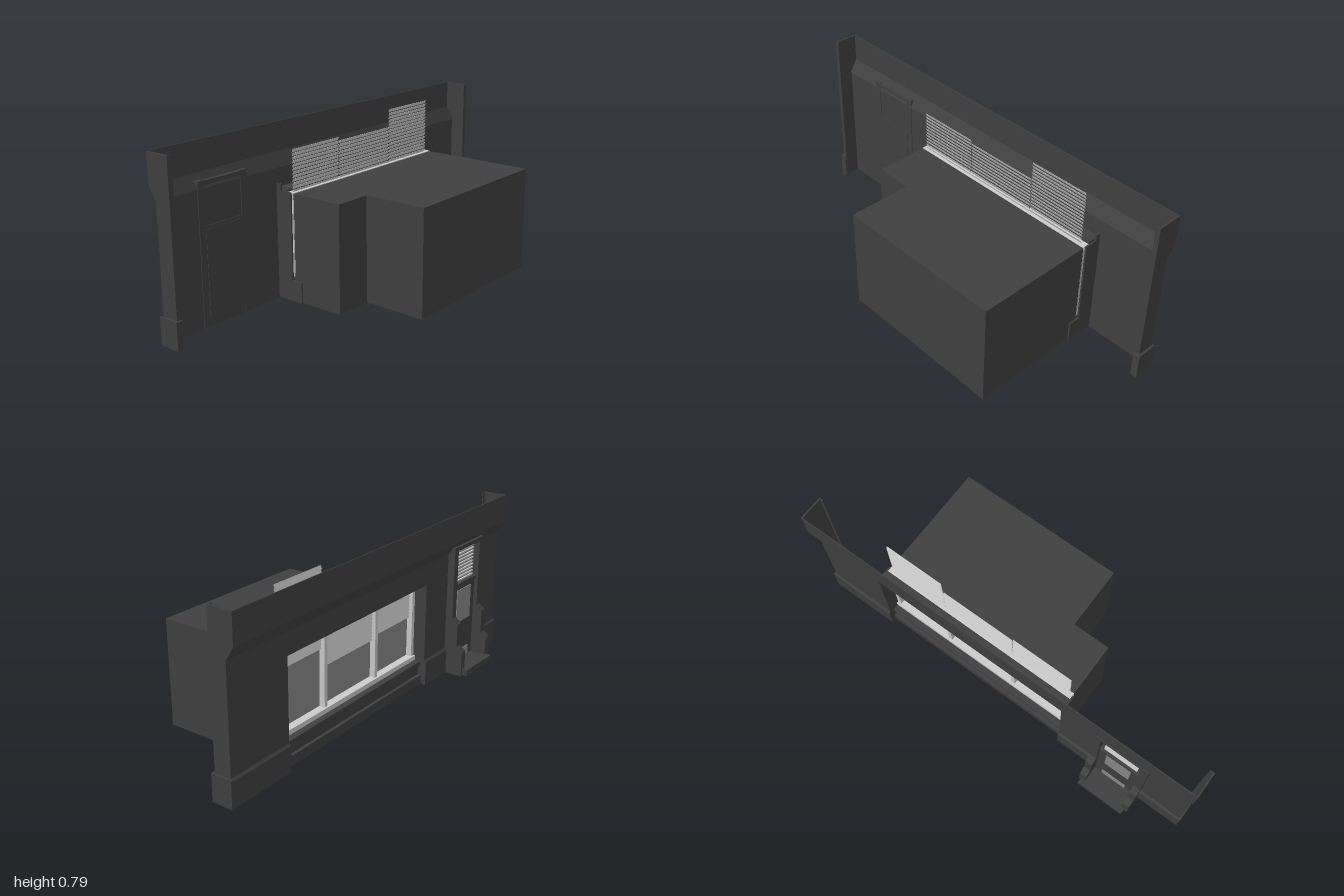
import * as THREE from 'three';

const dark = new THREE.MeshStandardMaterial({ color: 0x404040, side: THREE.DoubleSide, flatShading: true });
const grey = new THREE.MeshStandardMaterial({ color: 0xcccccc, side: THREE.DoubleSide, flatShading: true });
const glass = new THREE.MeshStandardMaterial({ color: 0x888888, side: THREE.DoubleSide });

export function createModel() {
  const root = new THREE.Group();

  const add = (name, geometry, material = dark, parent = root) => {
    const mesh = new THREE.Mesh(geometry, material);
    mesh.name = name;
    parent.add(mesh);
    return mesh;
  };
  // Box given by its limits on each axis
  const box = (name, x0, x1, y0, y1, z0, z1, material = dark, parent = root) => {
    const g = new THREE.BoxGeometry(x1 - x0, y1 - y0, z1 - z0);
    g.translate((x0 + x1) / 2, (y0 + y1) / 2, (z0 + z1) / 2);
    return add(name, g, material, parent);
  };
  const shapeOf = (pts) => new THREE.Shape(pts.map(([a, b]) => new THREE.Vector2(a, b)));
  // Side profile in x and y, swept along z
  const sweep = (name, pts, z0, z1) => {
    const g = new THREE.ExtrudeGeometry(shapeOf(pts), { depth: z1 - z0, bevelEnabled: false });
    g.translate(0, 0, z0);
    return add(name, g);
  };

  const W0 = -0.655, W1 = 0.335; // shop window opening along z
  const END = 0.985;

  // Street wall with an opening for the shop window
  const wall = new THREE.ShapeGeometry(shapeOf([
    [-END, 0], [W0, 0], [W0, 0.51], [W1, 0.51], [W1, 0], [END, 0], [END, 0.595], [-END, 0.595],
  ]));
  wall.rotateY(-Math.PI / 2).translate(-0.265, 0, 0);
  add('streetWall', wall);

  // Fascia board with its sloping underside
  sweep('fascia', [
    [-0.265, 0.595], [-0.303, 0.655], [-0.303, 0.788], [-0.299, 0.788], [-0.299, 0.657], [-0.261, 0.597],
  ], -END, END);

  // End returns, each with a small inward lip, and plinths wrapping the corners
  for (const s of [-1, 1]) {
    const span = (a, b) => (s > 0 ? [a, b] : [-b, -a]);
    sweep('endReturn', [
      [-0.265, 0], [-0.185, 0], [-0.185, 0.788], [-0.303, 0.788], [-0.303, 0.655], [-0.265, 0.595],
    ], ...span(0.983, 0.99));
    box('endLip', -0.19, -0.185, 0, 0.788, ...span(0.968, 0.988));
    box('endPlinth', -0.275, -0.178, 0.002, 0.125, ...span(0.99, 1));
    box('endPlinthLip', -0.184, -0.176, 0.002, 0.125, ...span(0.968, 1));
  }
  for (const [a, b] of [[-1, W0], [W1, 0.52], [0.785, 1]]) {
    sweep('wallPlinth', [
      [-0.265, 0.002], [-0.275, 0.002], [-0.275, 0.118], [-0.265, 0.127],
    ], a, b);
  }

  // Room behind the window, with one corner stepped back
  const room = new THREE.ExtrudeGeometry(shapeOf([
    [-0.172, -W1], [0.083, -W1], [0.083, -0.155], [0.383, -0.155], [0.383, -W0], [-0.172, -W0],
  ]), { depth: 0.49, bevelEnabled: false });
  room.rotateX(-Math.PI / 2).translate(0, 0.006, 0);
  add('room', room);

  // Window recess: soffit, side jambs and low wall under the glass
  box('recessSoffit', -0.265, -0.205, 0.497, 0.51, W0, W1);
  for (const [a, b] of [[W0 - 0.008, W0], [W1, W1 + 0.008]]) {
    box('recessJamb', -0.265, -0.183, 0.005, 0.5, a, b);
    box('recessJambTop', -0.265, -0.24, 0.5, 0.53, a, b);
    box('stallRiserEnd', -0.25, -0.13, 0.005, 0.1, a, b);
  }
  box('stallRiser', -0.235, -0.13, 0.005, 0.1, W0, W1);
  box('stallRiserPlinth', -0.25, -0.235, 0.005, 0.05, W0, W1);
  box('windowLedge', -0.245, -0.17, 0.1, 0.118, W0, W1);

  // Window frame, glass and mullions
  const win = new THREE.Group();
  win.name = 'shopWindow';
  root.add(win);
  box('windowGlass', -0.178, -0.174, 0.12, 0.495, W0, W1, glass, win);
  box('windowSill', -0.215, -0.172, 0.118, 0.14, W0, W1, grey, win);
  box('windowHead', -0.205, -0.172, 0.48, 0.499, W0, W1, grey, win);
  for (const z of [W0 + 0.01, -0.338, 0.027, W1 - 0.01]) {
    box('windowMullion', -0.205, -0.172, 0.12, 0.499, z - 0.01, z + 0.01, grey, win);
  }

  // Venetian blinds: tilted slats hung at three heights
  for (const [z0, z1, top] of [[-0.63, -0.342, 0.757], [-0.338, 0.02, 0.672], [0.026, 0.322, 0.688]]) {
    const blind = new THREE.Group();
    blind.name = 'blind';
    root.add(blind);
    for (let i = 0; i < 22; i++) {
      const slat = new THREE.BoxGeometry(0.0012, 0.0165, z1 - z0);
      slat.rotateZ(-0.45).translate(-0.186, top - 0.008 - i * 0.0162, (z0 + z1) / 2);
      add('blindSlat', slat, grey, blind);
    }
  }

  // Door surround: two stepped pilasters and a head
  for (const [a, b] of [[0.52, 0.553], [0.752, 0.785]]) {
    sweep('doorPilaster', [
      [-0.262, 0.002], [-0.36, 0.002], [-0.36, 0.125], [-0.33, 0.147], [-0.33, 0.26],
      [-0.3, 0.285], [-0.3, 0.63], [-0.262, 0.63],
    ], a, b);
  }
  box('doorHead', -0.3, -0.262, 0.61, 0.628, 0.553, 0.752);
  box('doorStep', -0.385, -0.264, 0.006, 0.035, 0.53, 0.77);

  // Door with glazed panel, kick plate and a barred light above
  box('doorLeaf', -0.28, -0.26, 0.035, 0.425, 0.553, 0.752);
  box('doorTransom', -0.29, -0.262, 0.42, 0.438, 0.553, 0.752);
  box('doorGlass', -0.284, -0.28, 0.235, 0.4, 0.59, 0.715, glass);
  box('doorKickPlate', -0.284, -0.28, 0.04, 0.085, 0.59, 0.715, glass);
  box('fanlight', -0.272, -0.268, 0.438, 0.61, 0.57, 0.735, glass);
  for (let i = 0; i < 10; i++) {
    const y = 0.446 + i * 0.0165;
    box('fanlightBar', -0.28, -0.273, y, y + 0.006, 0.57, 0.735, grey);
  }

  return root;
}
